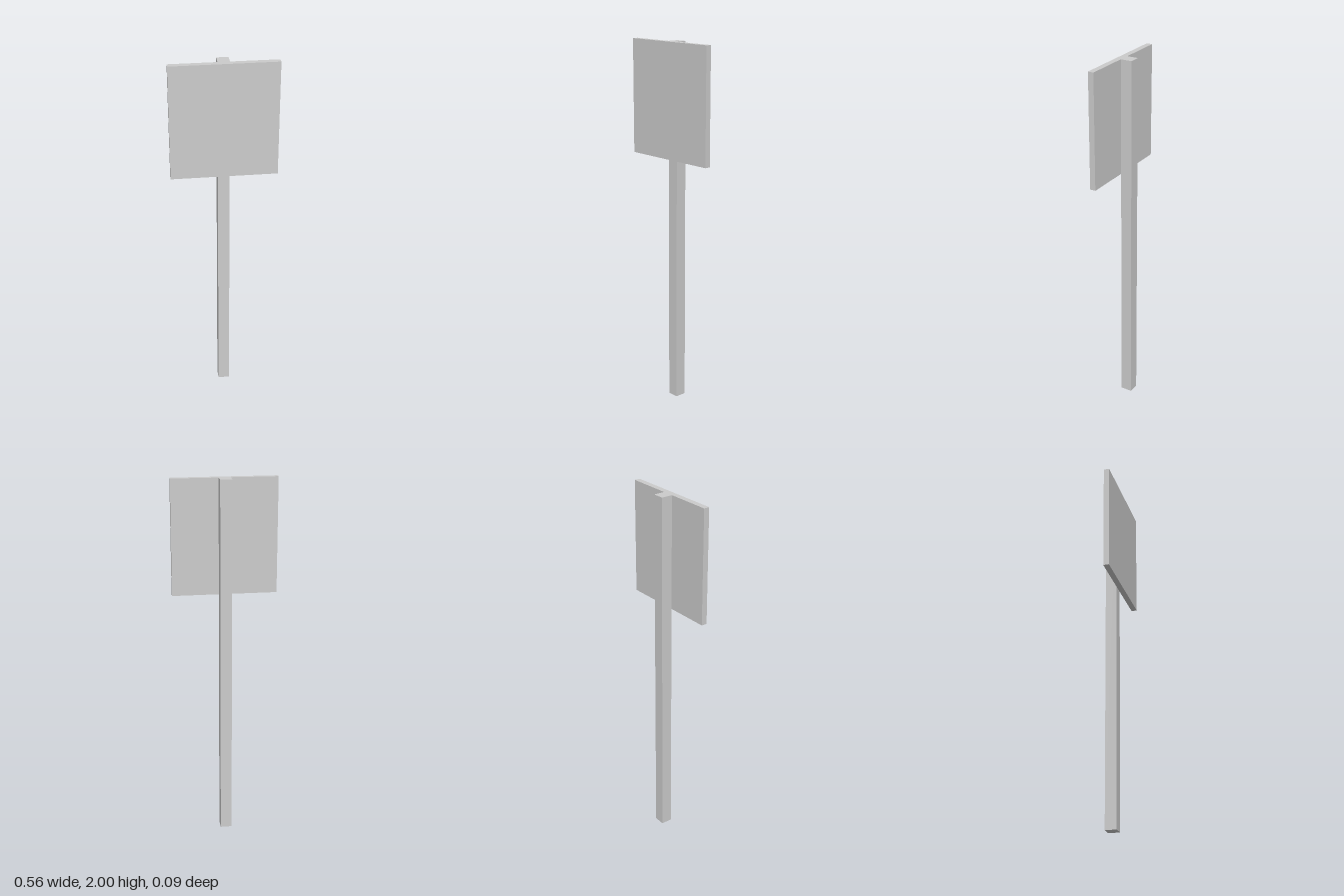
import * as THREE from 'three';

export function createModel() {
  const group = new THREE.Group();
  const material = new THREE.MeshStandardMaterial({ color: 0xcccccc, flatShading: true });

  // Box given by its size, bottom height and centre depth
  const addBox = (name, width, height, depth, bottom, z) => {
    const mesh = new THREE.Mesh(new THREE.BoxGeometry(width, height, depth), material);
    mesh.name = name;
    mesh.position.set(0, bottom + height / 2, z);
    group.add(mesh);
  };

  // Square post, full height
  addBox('post', 0.0625, 2, 0.0625, 0, -0.0156);
  // Flat board fixed to the front of the post, flush with its top
  addBox('signBoard', 0.5625, 0.62, 0.03125, 1.38, 0.03125);

  return group;
}
